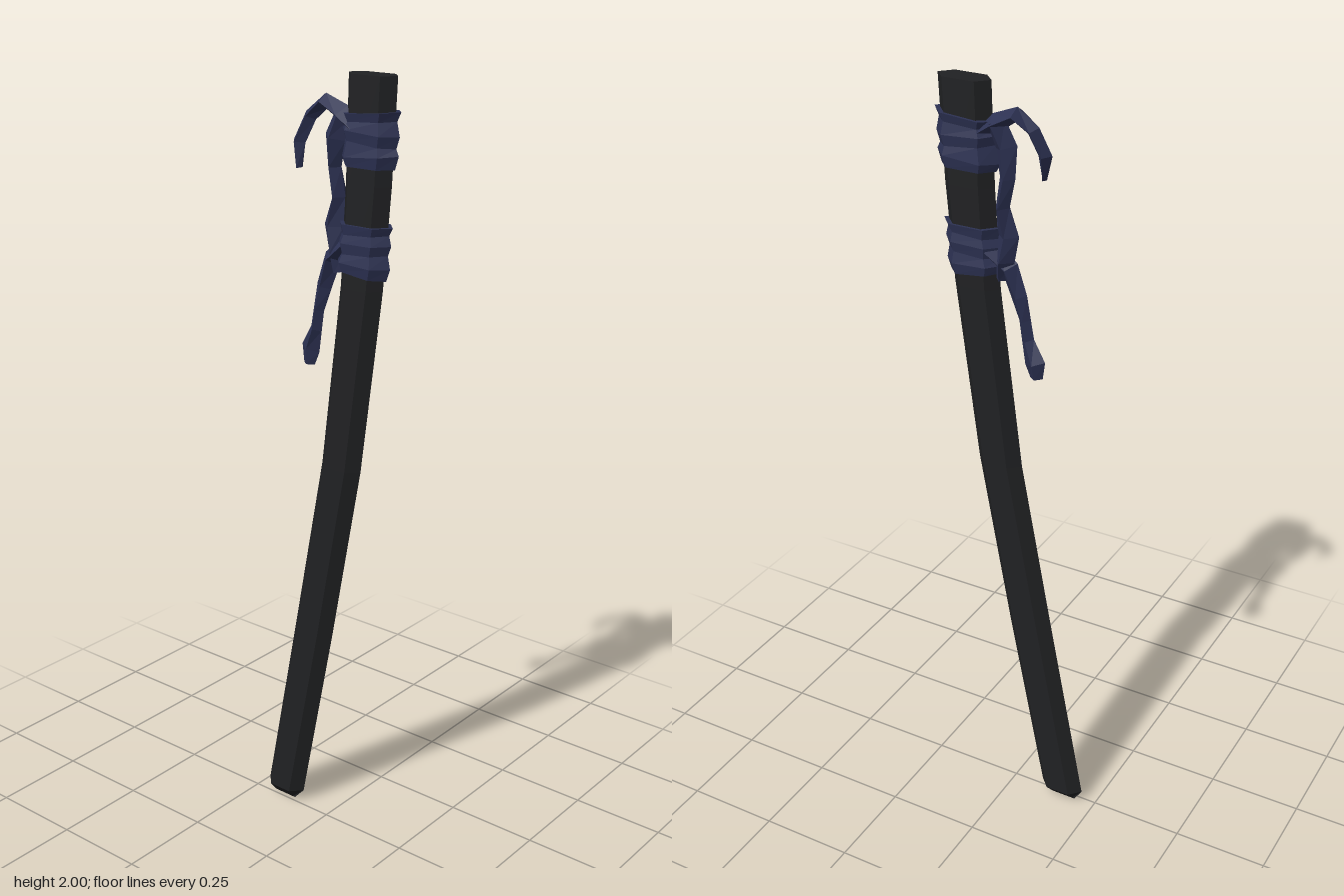
import * as THREE from 'three';

const MID_Z = -0.013;
const black = new THREE.MeshStandardMaterial({ color: 0x202123, flatShading: true });
const cloth = new THREE.MeshStandardMaterial({ color: 0x2c3152, flatShading: true, side: THREE.DoubleSide });

// Skin a list of equal-length rings and cap both ends
function loft(name, rings, material) {
  const n = rings[0].length;
  const index = [];
  for (let i = 0; i < rings.length - 1; i++) {
    for (let j = 0; j < n; j++) {
      const a = i * n + j, b = i * n + (j + 1) % n;
      index.push(a, b, b + n, a, b + n, a + n);
    }
  }
  const top = (rings.length - 1) * n;
  for (let j = 1; j < n - 1; j++) {
    index.push(0, j + 1, j, top, top + j, top + j + 1);
  }
  const geometry = new THREE.BufferGeometry().setFromPoints(rings.flat());
  geometry.setIndex(index);
  const flat = geometry.toNonIndexed();
  flat.computeVertexNormals();
  const mesh = new THREE.Mesh(flat, material);
  mesh.name = name;
  return mesh;
}

// Six-sided section with pointed left and right edges
function hexRing(x, y, half, inner, depth, slope = 0) {
  return [[half, 0], [inner, -depth], [-inner, -depth], [-half, 0], [-inner, depth], [inner, depth]]
    .map(([dx, dz]) => new THREE.Vector3(x + dx, y + dx * slope, MID_Z + dz));
}

// Height, centre x and half width along the curved scabbard
const sections = [
  [0.035, -0.153, 0.061], [0.55, -0.052, 0.062], [1.03, 0.038, 0.061],
  [1.5, 0.098, 0.063], [1.75, 0.116, 0.067], [2, 0.126, 0.07],
];

function sectionAt(y) {
  let i = 0;
  while (i < sections.length - 2 && y > sections[i + 1][0]) i++;
  const [a, b] = [sections[i], sections[i + 1]];
  const t = (y - a[0]) / (b[0] - a[0]);
  return [a[1] + (b[1] - a[1]) * t, a[2] + (b[2] - a[2]) * t];
}

// Creased cloth wound around the scabbard; folds are [height, looseness]
function wrap(name, folds) {
  return loft(name, folds.map(([y, out, slope]) => {
    const [x, half] = sectionAt(y);
    return hexRing(x, y, half + out, half - 0.028 + out * 0.6, 0.03 + out * 0.5, slope);
  }), cloth);
}

// Ribbon of diamond section; points are [x, y, z, half width, half depth]
function ribbon(name, points) {
  const rings = points.map(([x, y, z, w, d], i) => {
    const p = points[Math.max(i - 1, 0)], q = points[Math.min(i + 1, points.length - 1)];
    const t = new THREE.Vector2(q[0] - p[0], q[1] - p[1]).normalize();
    return [[w, 0], [0, d], [-w, 0], [0, -d]]
      .map(([u, v]) => new THREE.Vector3(x - t.y * u, y + t.x * u, z + v));
  });
  return loft(name, rings, cloth);
}

export function createModel() {
  const model = new THREE.Group();
  model.name = 'swordScabbard';

  // Scabbard, closing to a ridge at the foot
  const rings = sections.map(([y, x, half]) => hexRing(x, y, half, half - 0.028, 0.03));
  rings.unshift(hexRing(-0.158, 0, 0.034, 0.026, 0));
  model.add(loft('scabbard', rings, black));

  // Two cloth bands
  const bindings = new THREE.Group();
  bindings.name = 'bindings';
  bindings.add(wrap('upperBand', [
    [1.79, 0.006, 0], [1.815, 0.015, 0.08], [1.845, 0.006, -0.1],
    [1.87, 0.014, -0.06], [1.895, 0.005, 0.06], [1.915, 0.015, 0.08],
  ]));
  bindings.add(wrap('lowerBand', [
    [1.535, 0.006, -0.12], [1.56, 0.015, -0.05], [1.585, 0.006, 0.05],
    [1.61, 0.013, 0.02], [1.632, 0.005, 0.06], [1.655, 0.013, 0],
  ]));

  // Strand joining the bands down the left-hand edge
  bindings.add(ribbon('joiningStrand', [
    [0.045, 1.91, -0.015, 0.026, 0.03], [0.024, 1.85, -0.005, 0.03, 0.028],
    [0.016, 1.78, -0.012, 0.02, 0.024], [0.026, 1.71, -0.018, 0.018, 0.028],
    [0.014, 1.64, -0.012, 0.028, 0.026], [0.022, 1.58, -0.016, 0.026, 0.032],
    [0.03, 1.53, -0.012, 0.02, 0.022],
  ]));

  // Loose end curling over at the top
  bindings.add(ribbon('upperLooseEnd', [
    [0.09, 1.875, -0.012, 0.025, 0.036], [0.045, 1.905, -0.012, 0.022, 0.036],
    [-0.005, 1.93, -0.008, 0.018, 0.03], [-0.042, 1.895, 0.004, 0.017, 0.022],
    [-0.064, 1.835, 0.02, 0.018, 0.022], [-0.057, 1.775, 0.03, 0.006, 0.012],
  ]));

  // Loose end hanging below the lower band
  bindings.add(ribbon('lowerLooseEnd', [
    [0.06, 1.6, -0.012, 0.025, 0.036], [0.012, 1.56, -0.01, 0.025, 0.028],
    [-0.012, 1.49, -0.008, 0.022, 0.02], [-0.026, 1.43, -0.004, 0.016, 0.018],
    [-0.034, 1.38, -0.004, 0.017, 0.018], [-0.057, 1.325, -0.01, 0.028, 0.02],
    [-0.06, 1.285, -0.008, 0.017, 0.014],
  ]));

  model.add(bindings);
  return model;
}
